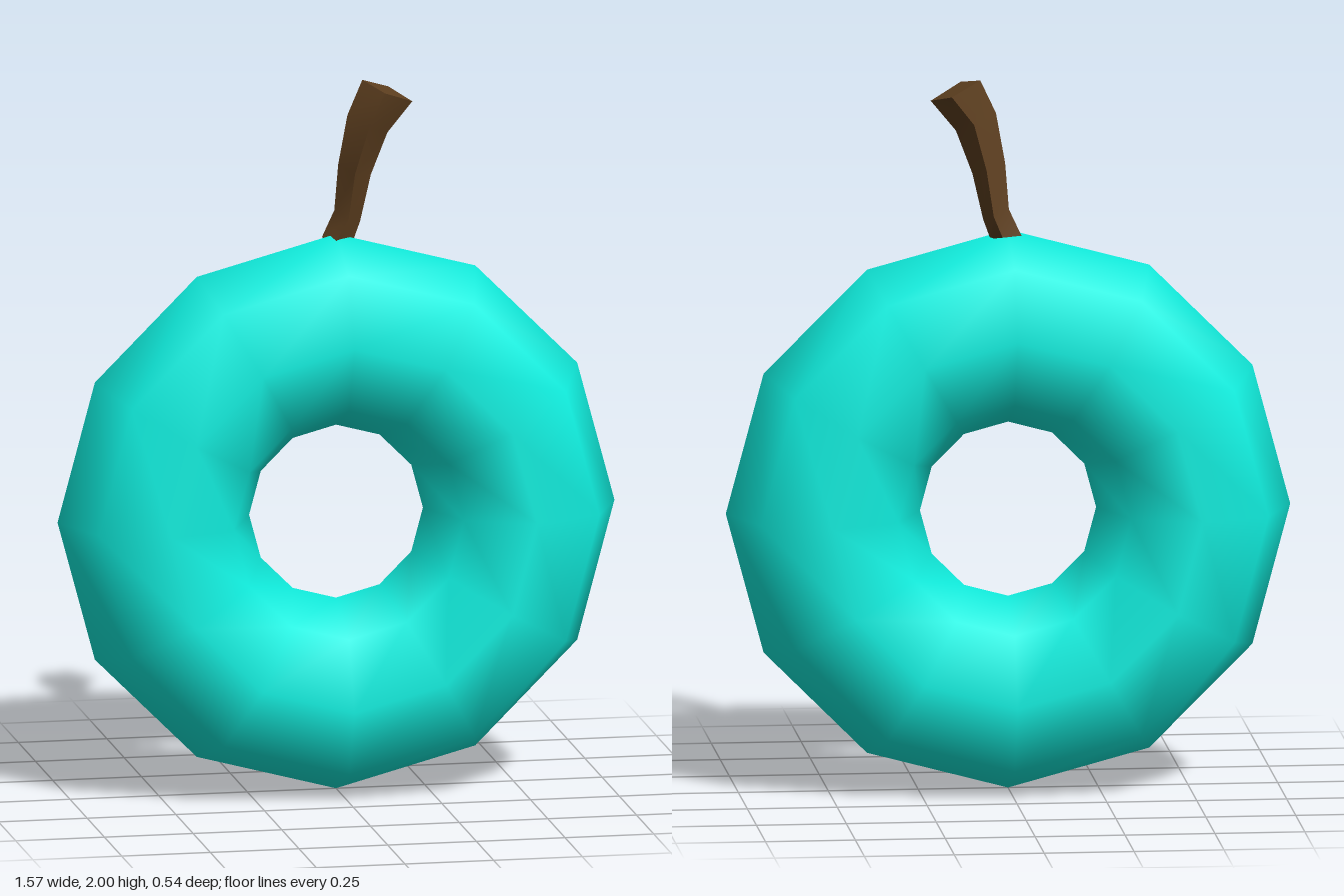
import * as THREE from 'three';
import { toCreasedNormals } from 'three/addons/utils/BufferGeometryUtils.js';

// Closed loft through four-cornered rings, each corner [x, y, z]
function loft(rings) {
  const n = rings[0].length, last = (rings.length - 1) * n, index = [];
  for (let r = 0; r < rings.length - 1; r++) {
    for (let i = 0; i < n; i++) {
      const a = r * n + i, b = r * n + (i + 1) % n;
      index.push(a, b, b + n, a, b + n, a + n);
    }
  }
  for (let i = 1; i < n - 1; i++) {
    index.push(0, i + 1, i, last, last + i, last + i + 1);
  }
  const geometry = new THREE.BufferGeometry();
  geometry.setAttribute('position', new THREE.Float32BufferAttribute(rings.flat(2), 3));
  geometry.setIndex(index);
  return toCreasedNormals(geometry, 1.2);
}

export function createModel() {
  const group = new THREE.Group();
  group.name = 'ringFruit';

  // Low-poly ring body, smooth shaded
  const body = new THREE.Mesh(
    new THREE.TorusGeometry(0.515, 0.27, 8, 12),
    new THREE.MeshStandardMaterial({ color: 0x10f0e0 })
  );
  body.name = 'ringBody';
  body.position.y = 0.788;
  group.add(body);

  // Bent stem: corners run left, front, right, back, widening to a tilted tip
  const stem = new THREE.Mesh(
    loft([
      [[-0.035, 1.56, -0.025], [-0.01, 1.55, 0.03], [0.05, 1.55, -0.01], [0.02, 1.56, -0.05]],
      [[0, 1.635, -0.025], [0.03, 1.62, 0.03], [0.07, 1.605, -0.01], [0.045, 1.62, -0.055]],
      [[0.01, 1.765, -0.02], [0.045, 1.75, 0.045], [0.1, 1.735, -0.01], [0.065, 1.75, -0.055]],
      [[0.035, 1.905, -0.015], [0.08, 1.88, 0.065], [0.145, 1.855, 0], [0.1, 1.88, -0.06]],
      [[0.08, 2, -0.03], [0.125, 1.98, 0.065], [0.215, 1.94, 0], [0.165, 1.965, -0.09]],
    ]),
    new THREE.MeshStandardMaterial({ color: 0x5f4020 })
  );
  stem.name = 'stem';
  group.add(stem);

  return group;
}
